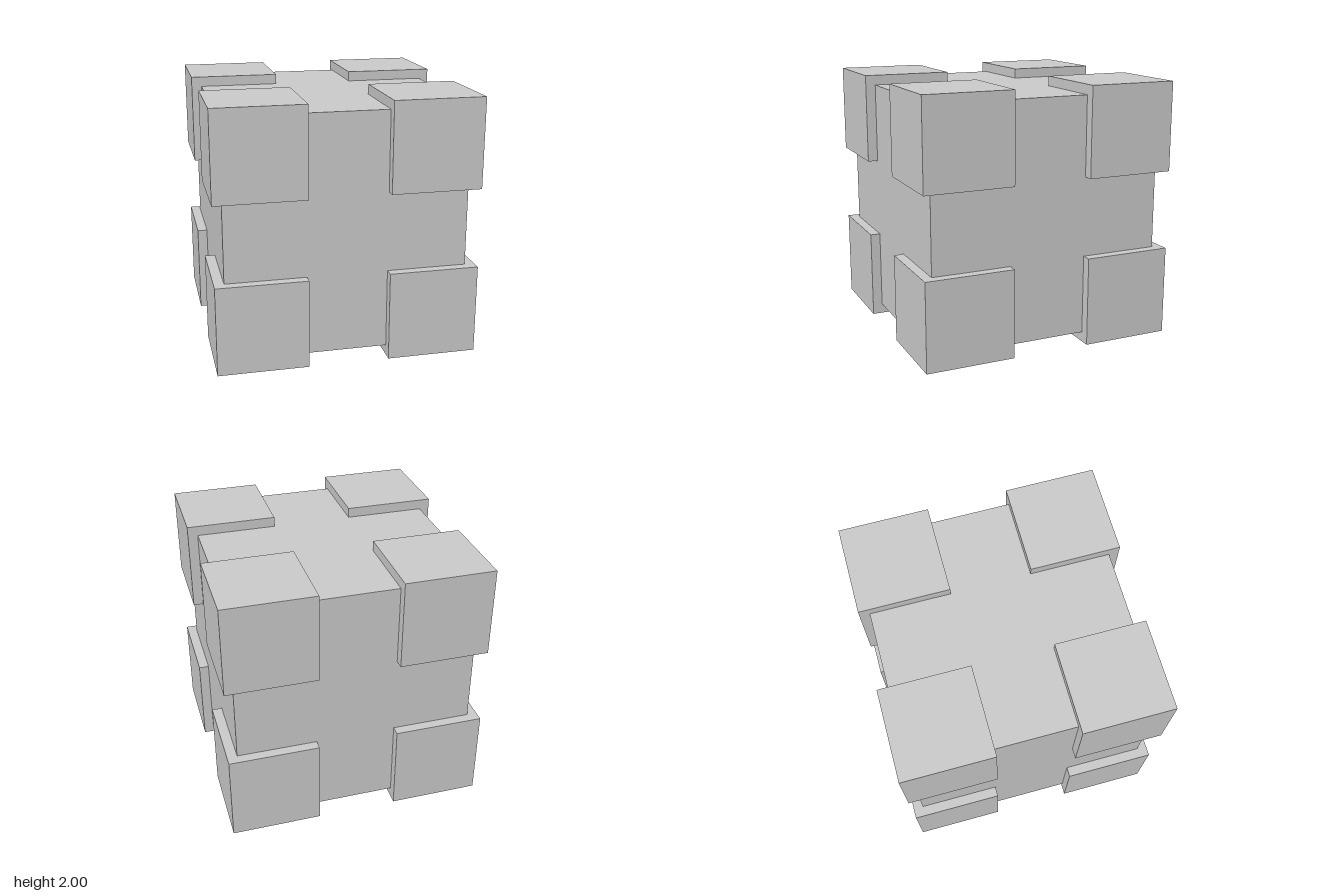
import * as THREE from 'three';

export function createModel() {
  const model = new THREE.Group();
  model.name = 'cornerBlockCube';
  const material = new THREE.MeshStandardMaterial({ color: 0xcccccc, flatShading: true });

  const addCube = (name, size, x, y, z) => {
    const mesh = new THREE.Mesh(new THREE.BoxGeometry(size, size, size), material);
    mesh.name = name;
    mesh.position.set(x, y, z);
    model.add(mesh);
  };

  // Central body
  addCube('body', 1.846, 0, 1, 0);

  // Eight corner blocks, flush with the overall 2-unit bounds
  const size = 0.692;
  const offset = 1 - size / 2;
  for (const sx of [-1, 1]) {
    for (const sy of [-1, 1]) {
      for (const sz of [-1, 1]) {
        const name = `${sy > 0 ? 'top' : 'bottom'}${sz > 0 ? 'Front' : 'Back'}${sx > 0 ? 'Left' : 'Right'}Corner`;
        addCube(name, size, sx * offset, 1 + sy * offset, sz * offset);
      }
    }
  }
  return model;
}
